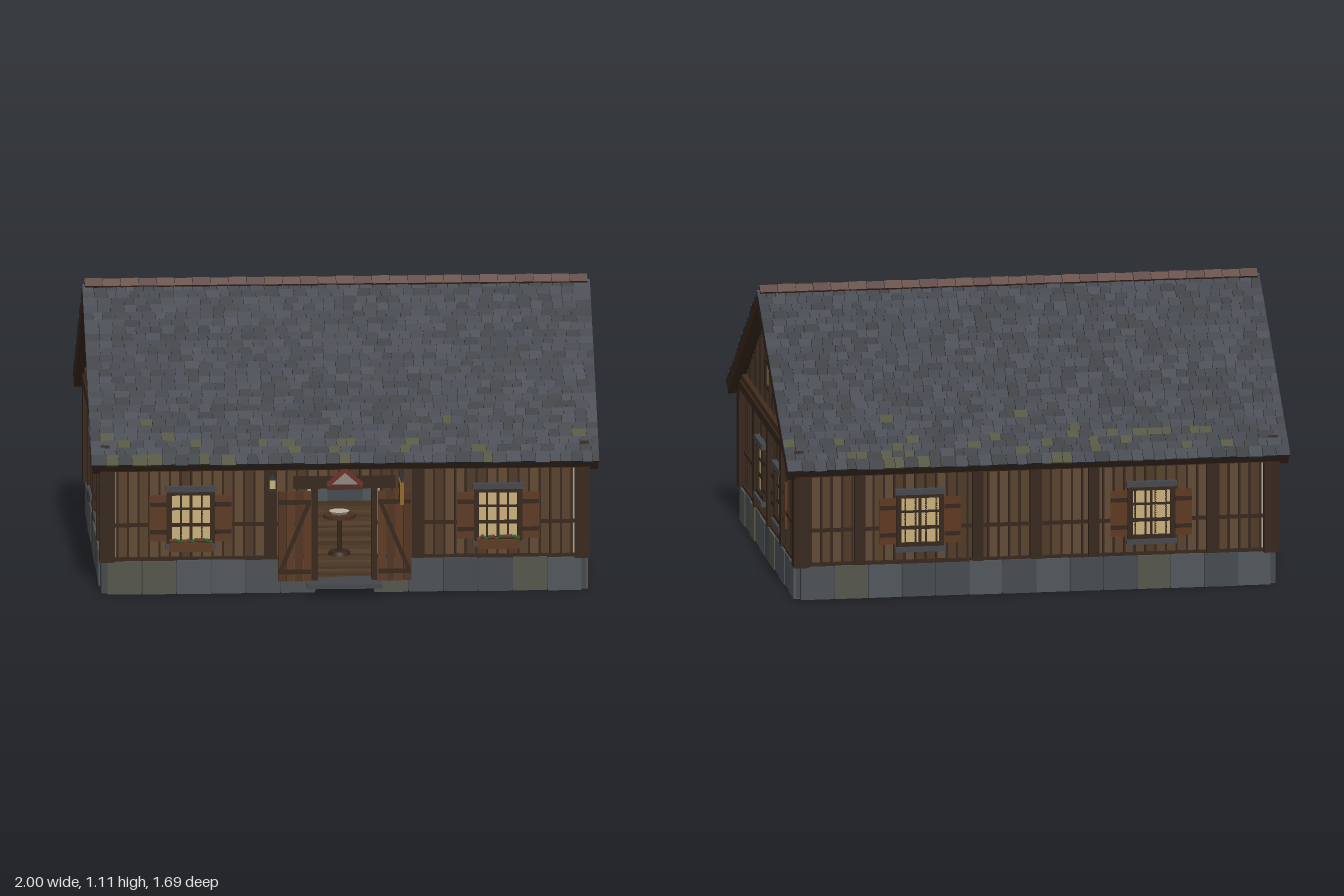
import * as THREE from 'three';
import { mergeGeometries } from 'three/addons/utils/BufferGeometryUtils.js';

const WOOD = [0x57402b, 0x4d3825, 0x614832], GABLE = [0x553621, 0x4a2e1c, 0x5f3e27];
const DARK = 0x35251a, SHUTTER = 0x5c3820, STONE = [0x4b5053, 0x444a4e, 0x53544b, 0x50565a];
const SLATE = [0x2b3038, 0x31363f, 0x272b31, 0x363b44], MOSS = 0x45462c;
const GLASS = 0xc9b07c, IRON = 0x2e3032, GREY = 0x44464a, PLASTER = 0xa8a18f, GOLD = 0x8f6a2a;

let seed = 7;
const rand = () => (seed = (seed * 16807) % 2147483647) / 2147483647;
const pick = list => list[Math.floor(rand() * list.length)];

export function createModel() {
  seed = 7;
  const model = new THREE.Group();
  model.name = 'cottage';
  const parts = new Map();
  const CZ = -0.033; // depth position of the ridge

  // Collect geometry by part name and colour, merged at the end
  function add(name, color, geo, frame) {
    const g = geo.index ? geo.toNonIndexed() : geo;
    if (frame) g.applyMatrix4(frame);
    const key = name + '|' + color;
    if (!parts.has(key)) parts.set(key, []);
    parts.get(key).push(g);
  }
  // Box from its extents
  function box(name, color, x0, x1, y0, y1, z0, z1, frame) {
    add(name, color, new THREE.BoxGeometry(x1 - x0, y1 - y0, z1 - z0)
      .translate((x0 + x1) / 2, (y0 + y1) / 2, (z0 + z1) / 2), frame);
  }
  // Frame of a wall: x along it, z outward, z = 0 on the planks
  const wallFrame = (angle, dist) => new THREE.Matrix4().makeTranslation(0, 0, CZ)
    .multiply(new THREE.Matrix4().makeRotationY(angle))
    .multiply(new THREE.Matrix4().makeTranslation(0, 0, dist));

  // Window with frame, bars, shutters, lintel, sill and optional flower box
  function addWindow(u, f, flowers) {
    box('windowGlass', GLASS, u - 0.08, u + 0.08, 0.21, 0.4, -0.01, 0.006, f);
    for (const s of [-1, 1]) {
      box('windowFrame', DARK, u + s * 0.085 - 0.01, u + s * 0.085 + 0.01, 0.2, 0.41, 0, 0.018, f);
      const c = u + s * 0.128;
      box('shutter', SHUTTER, c - 0.034, c + 0.034, 0.21, 0.395, 0, 0.012, f);
      for (const y of [0.24, 0.35]) box('shutterRail', DARK, c - 0.032, c + 0.032, y, y + 0.016, 0.01, 0.018, f);
    }
    for (const y of [0.2, 0.395]) box('windowFrame', DARK, u - 0.09, u + 0.09, y, y + 0.016, 0, 0.018, f);
    box('windowBar', DARK, u - 0.005, u + 0.005, 0.21, 0.4, 0, 0.012, f);
    for (const y of [0.27, 0.335]) box('windowBar', DARK, u - 0.08, u + 0.08, y, y + 0.009, 0, 0.011, f);
    box('windowLintel', GREY, u - 0.1, u + 0.1, 0.41, 0.432, 0, 0.026, f);
    box('windowSill', GREY, u - 0.1, u + 0.1, 0.18, 0.2, 0, 0.028, f);
    if (!flowers) return;
    box('flowerBox', SHUTTER, u - 0.085, u + 0.085, 0.175, 0.208, 0.02, 0.05, f);
    for (let i = 0; i < 12; i++)
      add('flowers', i % 4 ? 0x3c4f2a : 0x7e3030, new THREE.IcosahedronGeometry(0.01, 0)
        .translate(u - 0.077 + i * 0.014, 0.21 + rand() * 0.012, 0.035), f);
  }

  // Plank wall with battens, lining, posts, rails, foundation and windows
  function addWall(f, half, posts, windows, door, flowers) {
    const n = Math.round(half * 2 / 0.042), w = half * 2 / n;
    for (let i = 0; i < n; i++) {
      const a = -half + i * w, mid = a + w / 2;
      const y0 = door && Math.abs(mid) < 0.125 ? 0.42 : 0.13;
      box('wallPlanks', pick(WOOD), a, a + w, y0, 0.57, -0.02, -rand() * 0.004, f);
      box('wallBattens', DARK, a - 0.004, a + 0.004, y0, 0.57, -0.01, 0.006, f);
    }
    const spans = door ? [[-half, -0.115], [0.115, half]] : [[-half, half]];
    for (const [a, b] of spans) {
      box('innerWall', PLASTER, a, b, 0.04, 0.57, -0.035, -0.02, f);
      box('wallRail', DARK, a, b, 0.268, 0.282, 0, 0.01, f);
      box('sillBeam', DARK, a, b, 0.13, 0.145, -0.02, 0.016, f);
      const m = Math.round((b - a) / 0.13), bw = (b - a) / m;
      for (let i = 0; i < m; i++)
        box('foundationStone', pick(STONE), a + i * bw + 0.002, a + (i + 1) * bw - 0.002,
          0, 0.132 + rand() * 0.004, -0.045, 0.02 + rand() * 0.006, f);
      box('foundationCore', GREY, a, b, 0.004, 0.13, -0.043, 0.016, f);
    }
    if (door) box('innerWall', PLASTER, -0.115, 0.115, 0.42, 0.57, -0.035, -0.02, f);
    for (const u of posts) box('wallPost', DARK, u - 0.021, u + 0.021, 0.135, 0.55, -0.01, 0.025, f);
    for (const u of windows) addWindow(u, f, flowers);
  }

  const front = wallFrame(0, 0.715), back = wallFrame(Math.PI, 0.715);
  const sides = [wallFrame(Math.PI / 2, 0.935), wallFrame(-Math.PI / 2, 0.935)];
  addWall(front, 0.935, [-0.29, 0.29], [-0.605, 0.605], true, true);
  addWall(back, 0.935, [-0.7, -0.23, 0, 0.23, 0.7], [-0.46, 0.46], false, false);
  for (const f of [front, back]) box('wallPlate', DARK, -0.965, 0.965, 0.495, 0.545, -0.03, 0.028, f);
  for (const x of [-1, 1]) for (const z of [-1, 1])
    box('cornerPost', DARK, x * 0.935 - 0.03, x * 0.935 + 0.03, 0.132, 0.57,
      CZ + z * 0.72 - 0.033, CZ + z * 0.72 + 0.033);

  // Gable ends: planks cut to the roof line, tie beam and attic window
  const ANGLE = 0.59, TAN = Math.tan(ANGLE), APEX = 1.05;
  function slopedPlank(name, color, a, b, depth, f) {
    const top = u => APEX - Math.abs(u) * TAN;
    const shape = new THREE.Shape([[a, 0.56], [b, 0.56], [b, top(b)], [a, top(a)]].map(p => new THREE.Vector2(...p)));
    add(name, color, new THREE.ExtrudeGeometry(shape, { depth, bevelEnabled: false }).translate(0, 0, -0.02), f);
  }
  for (const f of sides) {
    addWall(f, 0.715, [-0.35, 0, 0.35], [-0.232, 0.232], false, false);
    for (let i = -16; i < 16; i++) {
      const a = i * 0.044;
      slopedPlank('gablePlanks', pick(GABLE), a, a + 0.044, 0.02 + rand() * 0.004, f);
      if (i) slopedPlank('gableBattens', DARK, a - 0.004, a + 0.004, 0.028, f);
    }
    box('tieBeam', DARK, -0.76, 0.76, 0.54, 0.575, -0.01, 0.034, f);
    box('tieBeam', 0x402c1d, -0.74, 0.74, 0.575, 0.6, -0.01, 0.026, f);
    box('atticWindow', GLASS, -0.045, 0.045, 0.695, 0.785, 0, 0.016, f);
    for (const s of [-1, 1]) {
      box('atticWindowFrame', DARK, s * 0.05 - 0.007, s * 0.05 + 0.007, 0.683, 0.797, 0, 0.024, f);
      box('atticWindowFrame', DARK, -0.05, 0.05, 0.74 + s * 0.05 - 0.007, 0.74 + s * 0.05 + 0.007, 0, 0.024, f);
    }
  }

  // Roof slopes: deck, barge boards, eave board and rows of slates
  const LEN = 0.965, ROWS = 25;
  for (const turn of [0, Math.PI]) {
    const f = new THREE.Matrix4().makeTranslation(0, 1.07, CZ)
      .multiply(new THREE.Matrix4().makeRotationY(turn))
      .multiply(new THREE.Matrix4().makeRotationX(ANGLE));
    box('roofDeck', DARK, -0.975, 0.975, -0.025, 0, 0, LEN - 0.01, f);
    for (const s of [-1, 1])
      box('bargeBoard', 0x38261a, s * 0.98 - 0.016, s * 0.98 + 0.016, -0.045, 0.008, 0, LEN, f);
    box('eaveBoard', DARK, -0.975, 0.975, -0.04, 0, LEN - 0.03, LEN - 0.008, f);
    const pitch = LEN / ROWS;
    for (let r = 0; r < ROWS; r++) {
      let x = -1;
      while (x < 0.999) {
        let w = 0.034 + rand() * 0.026;
        if (x + w > 0.975) w = 1 - x;
        const mossy = (r > ROWS - 5 && rand() < 0.11) || (r > ROWS - 8 && rand() < 0.03);
        add('roofSlates', mossy ? MOSS : pick(SLATE), new THREE.BoxGeometry(w - 0.002, 0.008, pitch * 1.35)
          .rotateX(-0.02 + 0.13 + rand() * 0.03)
          .translate(x + w / 2, 0.008 + rand() * 0.003, (r + 0.45) * pitch + rand() * 0.006), f);
        x += w;
      }
    }
  }

  // Ridge tiles
  for (let i = 0; i < 28; i++) {
    const size = i % 2 ? 0.034 : 0.037;
    add('ridgeTiles', i % 3 ? 0x55342a : 0x4a2c24, new THREE.BoxGeometry(0.069, size, size)
      .rotateX(Math.PI / 4).translate(-0.955 + i * 0.0707, 1.083, CZ));
  }

  // Floor boards
  for (let i = 0; i < 36; i++)
    box('floorBoards', pick([0x4a3623, 0x423020, 0x523c28]), -0.91, 0.91, 0.03, 0.05,
      CZ - 0.69 + i * 0.0384, CZ - 0.69 + (i + 1) * 0.0384 - 0.001);

  // Doorway with open leaves, cross braces and a small pediment
  for (const s of [-1, 1]) {
    box('doorJamb', DARK, s * 0.118 - 0.012, s * 0.118 + 0.012, 0.04, 0.43, -0.04, 0.03, front);
    for (let i = 0; i < 4; i++) {
      const c = s * (0.147 + i * 0.033);
      box('doorLeaf', i % 2 ? 0x51321e : SHUTTER, c - 0.0155, c + 0.0155, 0.05, 0.41, 0.026, 0.04, front);
    }
    for (const y of [0.08, 0.36])
      box('doorRail', DARK, s * 0.197 - 0.064, s * 0.197 + 0.064, y, y + 0.018, 0.04, 0.046, front);
    add('doorBrace', DARK, new THREE.BoxGeometry(0.016, 0.3, 0.006)
      .rotateZ(s * 0.39).translate(s * 0.197, 0.228, 0.043), front);
    add('pedimentRafter', 0x6b2f2a, new THREE.BoxGeometry(0.09, 0.014, 0.03)
      .rotateZ(-s * 0.72).translate(s * 0.034, 0.468, 0.042), front);
  }
  box('doorLintel', DARK, -0.2, 0.2, 0.42, 0.465, 0, 0.03, front);
  box('doorThreshold', GREY, -0.125, 0.125, 0.015, 0.05, -0.045, 0.03, front);
  add('pediment', 0x8d8880, new THREE.ExtrudeGeometry(new THREE.Shape([new THREE.Vector2(-0.055, 0.435),
    new THREE.Vector2(0.055, 0.435), new THREE.Vector2(0, 0.488)]), { depth: 0.02, bevelEnabled: false })
    .translate(0, 0, 0.026), front);
  box('doorLintel', 0x4f2a20, -0.07, 0.07, 0.42, 0.44, 0.02, 0.052, front);
  box('doorStep', GREY, -0.15, 0.145, 0.032, 0.05, 0.01, 0.105, front);

  // Lantern beside the door
  box('lanternGlass', GLASS, -0.296, -0.274, 0.425, 0.462, 0.034, 0.056, front);
  box('lanternBase', IRON, -0.299, -0.271, 0.418, 0.426, 0.031, 0.059, front);
  add('lanternCap', IRON, new THREE.ConeGeometry(0.022, 0.022, 4).rotateY(Math.PI / 4).translate(-0.285, 0.473, 0.045), front);
  box('lanternArm', IRON, -0.288, -0.282, 0.476, 0.484, 0.02, 0.048, front);

  // Hanging sign on an iron bracket
  box('signBracket', IRON, 0.214, 0.226, 0.476, 0.487, 0, 0.162, front);
  for (const z of [0.05, 0.125]) box('signHook', IRON, 0.218, 0.222, 0.455, 0.48, z, z + 0.004, front);
  box('signFrame', GOLD, 0.213, 0.227, 0.378, 0.462, 0.028, 0.15, front);
  box('signPanel', 0x3a2415, 0.211, 0.229, 0.387, 0.453, 0.037, 0.141, front);
  add('signRosette', GOLD, new THREE.CylinderGeometry(0.016, 0.016, 0.02, 8)
    .rotateZ(Math.PI / 2).translate(0.22, 0.42, 0.089), front);

  // Pedestal table inside
  const inside = new THREE.Matrix4().makeTranslation(0, 0.05, 0.25);
  add('tableFoot', DARK, new THREE.CylinderGeometry(0.04, 0.045, 0.015, 12).translate(0, 0.008, 0), inside);
  add('tableLeg', DARK, new THREE.CylinderGeometry(0.01, 0.01, 0.15, 10).translate(0, 0.08, 0), inside);
  add('tableTop', 0x4a3020, new THREE.CylinderGeometry(0.065, 0.065, 0.014, 20).translate(0, 0.157, 0), inside);
  add('plate', 0xb8b2a4, new THREE.CylinderGeometry(0.04, 0.03, 0.012, 16).translate(0, 0.17, 0), inside);

  for (const [key, list] of parts) {
    const [name, color] = key.split('|');
    const mesh = new THREE.Mesh(mergeGeometries(list),
      new THREE.MeshStandardMaterial({ color: Number(color) }));
    mesh.name = name;
    model.add(mesh);
  }
  return model;
}
